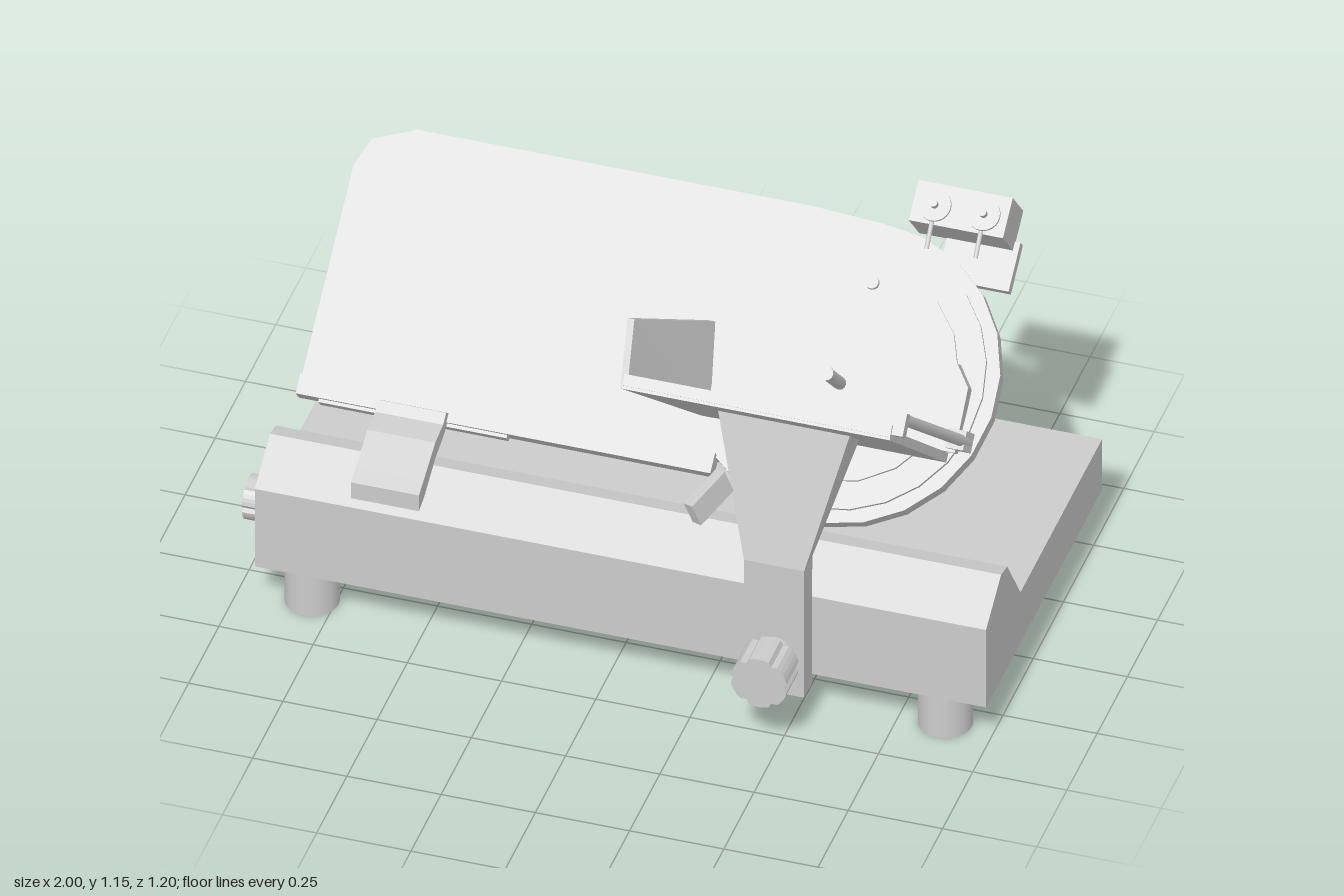
import * as THREE from 'three';

const mat = new THREE.MeshStandardMaterial({ color: 0xcccccc, side: THREE.DoubleSide });

function add(parent, name, geo, pos = [0, 0, 0], rot = [0, 0, 0]) {
  const m = new THREE.Mesh(geo, mat);
  m.name = name;
  m.position.set(...pos);
  m.rotation.set(...rot);
  parent.add(m);
  return m;
}
const box = (w, h, d) => new THREE.BoxGeometry(w, h, d);
const cyl = (r, h, n = 24, r2 = r) => new THREE.CylinderGeometry(r, r2, h, n);
const cylZ = (r, h, n = 24) => cyl(r, h, n).rotateX(Math.PI / 2);

// flat outline in xy, thickened from z0 to z1
function slab(pts, z0, z1) {
  const s = new THREE.Shape(pts.map(p => new THREE.Vector2(...p)));
  return new THREE.ExtrudeGeometry(s, { depth: z1 - z0, bevelEnabled: false }).translate(0, 0, z0);
}
// side profile of [z, y] points, extruded from x0 to x1
function sideProfile(pts, x0, x1) {
  return slab(pts.map(([z, y]) => [-z, y]), 0, x1 - x0).rotateY(Math.PI / 2).translate(x0, 0, 0);
}
// closed solid through four-cornered rings
function loft(rings) {
  const pos = [];
  const quad = (a, b, c, d) => pos.push(...a, ...b, ...c, ...a, ...c, ...d);
  for (let i = 0; i < rings.length - 1; i++)
    for (let j = 0; j < 4; j++) {
      const k = (j + 1) % 4;
      quad(rings[i][j], rings[i][k], rings[i + 1][k], rings[i + 1][j]);
    }
  quad(...[...rings[0]].reverse());
  quad(...rings[rings.length - 1]);
  const g = new THREE.BufferGeometry();
  g.setAttribute('position', new THREE.Float32BufferAttribute(pos, 3));
  g.computeVertexNormals();
  return g;
}
// round knob with grip notches, axis along z
function gripKnob(r, depth) {
  const pts = [];
  for (let i = 0; i < 36; i++) {
    const a = i / 36 * Math.PI * 2, q = i % 6 === 0 ? r * 0.87 : r;
    pts.push([q * Math.cos(a), q * Math.sin(a)]);
  }
  return slab(pts, 0, depth);
}
// rod between two points
function rod(a, b, r, n = 12) {
  const A = new THREE.Vector3(...a), B = new THREE.Vector3(...b);
  return new THREE.TubeGeometry(new THREE.LineCurve3(A, B), 1, r, n);
}

function buildBase(g) {
  add(g, 'baseHousing', sideProfile([[0.39, 0.125], [0.39, 0.37], [0.265, 0.455], [0.215, 0.445],
    [0.105, 0.285], [-0.57, 0.285], [-0.57, 0.125]], -0.94, 1));
  for (const x of [-0.81, 0.87]) for (const z of [0.32, -0.48])
    add(g, 'foot', cyl(0.07, 0.13), [x, 0.065, z]);
  // thickness dial on the end
  add(g, 'thicknessDial', gripKnob(0.06, 0.06), [-0.94, 0.235, 0.25], [0, -Math.PI / 2, 0]);
  add(g, 'ratingPlate', box(0.006, 0.05, 0.16), [-0.942, 0.2, -0.31]);
  // rear switch
  add(g, 'switchPanel', box(0.2, 0.13, 0.006), [-0.7, 0.35, -0.41]);
  add(g, 'switchBase', box(0.2, 0.01, 0.13), [-0.7, 0.29, -0.475]);
  add(g, 'switchCollar', cyl(0.06, 0.015), [-0.7, 0.3, -0.48]);
  add(g, 'switchLever', sideProfile([[-0.445, 0.305], [-0.46, 0.34], [-0.49, 0.35], [-0.6, 0.32],
    [-0.6, 0.303]], -0.722, -0.675));
}

function buildBladeSide(g) {
  // tilted frame: x along the plate, y up the slope, z out of its face
  const t = new THREE.Group();
  t.name = 'tiltedPlate';
  t.position.set(0, 0.46, 0.22);
  t.rotation.x = -50 * Math.PI / 180;
  g.add(t);
  const cx = 0.49, cy = 0.395, R = 0.395;
  const arc = [];
  for (let i = 0; i <= 14; i++) {
    const a = -2.35 + i / 14 * (2.35 + Math.PI / 2);
    arc.push([cx + R * Math.cos(a), cy + R * Math.sin(a)]);
  }
  add(t, 'gaugePlate', slab([[-0.89, 0.1], ...arc, [0.3, 0.8], [-0.75, 0.8], [-0.86, 0.755],
    [-0.89, 0.68]], 0.004, 0.046));
  add(t, 'gaugeLedge', box(1.1, 0.054, 0.045), [-0.34, 0.096, 0.042]);
  add(t, 'ledgeRail', box(0.5, 0.012, 0.03), [-0.58, 0.066, 0.04]);
  // blade, its cover and centre pin
  add(t, 'blade', cylZ(0.36, 0.014, 24), [cx, cy, 0.05]);
  add(t, 'bladeCover', cylZ(0.29, 0.016, 18), [cx, cy, 0.058]);
  add(t, 'coverPin', cylZ(0.009, 0.04, 12), [0.51, 0.625, 0.075]);
  add(t, 'coverPinHead', cylZ(0.018, 0.012, 12), [0.51, 0.625, 0.097]);
  // sharpener
  add(t, 'sharpenerBracket', box(0.19, 0.13, 0.03), [0.745, 0.75, 0.0]);
  add(t, 'sharpenerBox', box(0.25, 0.107, 0.135), [0.7, 0.845, 0.074]);
  for (const x of [0.635, 0.765]) {
    add(t, 'sharpenerStem', cylZ(0.01, 0.04, 12), [x, 0.84, 0.155]);
    add(t, 'sharpenerStone', cylZ(0.042, 0.008), [x, 0.84, 0.152]);
    add(t, 'sharpenerRod', rod([x, 0.84, 0.15], [x, 0.73, 0.13], 0.006));
  }
  // clamp that guides the gauge plate
  add(g, 'gaugeHandle', sideProfile([[0.435, 0.435], [0.435, 0.485], [0.395, 0.505], [0.3, 0.555],
    [0.235, 0.565], [0.21, 0.585], [0.17, 0.555], [0.24, 0.525], [0.3, 0.505], [0.39, 0.45]], -0.67, -0.49));
  add(g, 'clampKnob', cyl(0.042, 0.06), [-0.585, 0.445, 0.33], [0.7, 0, 0]);
}

function buildCarriage(g) {
  // arm: straight post, then a widening slanted head
  const ring = (x0, x1, yf, zf, yb, zb) => [[x0, yf, zf], [x1, yf, zf], [x1, yb, zb], [x0, yb, zb]];
  add(g, 'carriageArm', loft([
    ring(0.38, 0.54, 0.1, 0.46, 0.1, 0.395),
    ring(0.38, 0.54, 0.5, 0.46, 0.5, 0.393),
    ring(0.275, 0.63, 0.884, 0.352, 0.813, 0.275)]));
  add(g, 'armKnobStem', cylZ(0.045, 0.06), [0.465, 0.23, 0.48]);
  add(g, 'armKnob', gripKnob(0.075, 0.1), [0.465, 0.23, 0.502]);
  add(g, 'sideGrip', box(0.03, 0.07, 0.13), [0.29, 0.685, 0.47], [0.35, -0.4, 0.3]);

  // sloping tray frame: z runs up and out, y is the tray normal
  const t = new THREE.Group();
  t.name = 'foodTray';
  t.position.set(0, 0.64, 0.07);
  t.rotation.x = -0.725;
  g.add(t);
  const cross = (x0, x1, y0, y1, z) => [[x0, y0, z], [x1, y0, z], [x1, y1, z], [x0, y1, z]];
  add(t, 'trayFloor', loft([cross(0.155, 0.8, -0.015, 0.01, 0), cross(0.06, 0.77, -0.015, 0.01, 0.52)]));
  add(t, 'trayFrontRim', box(0.71, 0.03, 0.02), [0.415, 0.008, 0.515]);
  // outer fence, leaning slightly outward
  const fence = (x, z, zt, h) => [[x, -0.015, z], [x + 0.018, -0.015, z], [x - 0.015, h, zt], [x - 0.033, h, zt]];
  add(t, 'trayFence', loft([fence(0.15, 0, 0.015, 0.225), fence(0.055, 0.52, 0.462, 0.167)]));
  // pusher and its guide rod
  add(t, 'pusherPlate', slab([[0.18, 0.012], [0.82, 0.012], [0.82, 0.18], [0.78, 0.235], [0.22, 0.235],
    [0.18, 0.2]], -0.005, 0.035));
  add(t, 'pusherHandle', rod([0.49, 0.13, 0.03], [0.49, 0.14, 0.19], 0.017));
  add(t, 'pusherHandleEnd', cylZ(0.019, 0.008, 12), [0.49, 0.14, 0.19]);
  add(t, 'guideRod', rod([0.84, 0.045, 0.01], [0.785, 0.045, 0.5], 0.015));
  add(t, 'guideRodSlide', box(0.05, 0.05, 0.06), [0.825, 0.045, 0.03], [0, -0.11, 0]);
  add(t, 'guideRodMount', box(0.05, 0.06, 0.035), [0.775, 0.03, 0.5]);
}

export function createModel() {
  const g = new THREE.Group();
  g.name = 'foodSlicer';
  buildBase(g);
  buildBladeSide(g);
  buildCarriage(g);
  return g;
}
